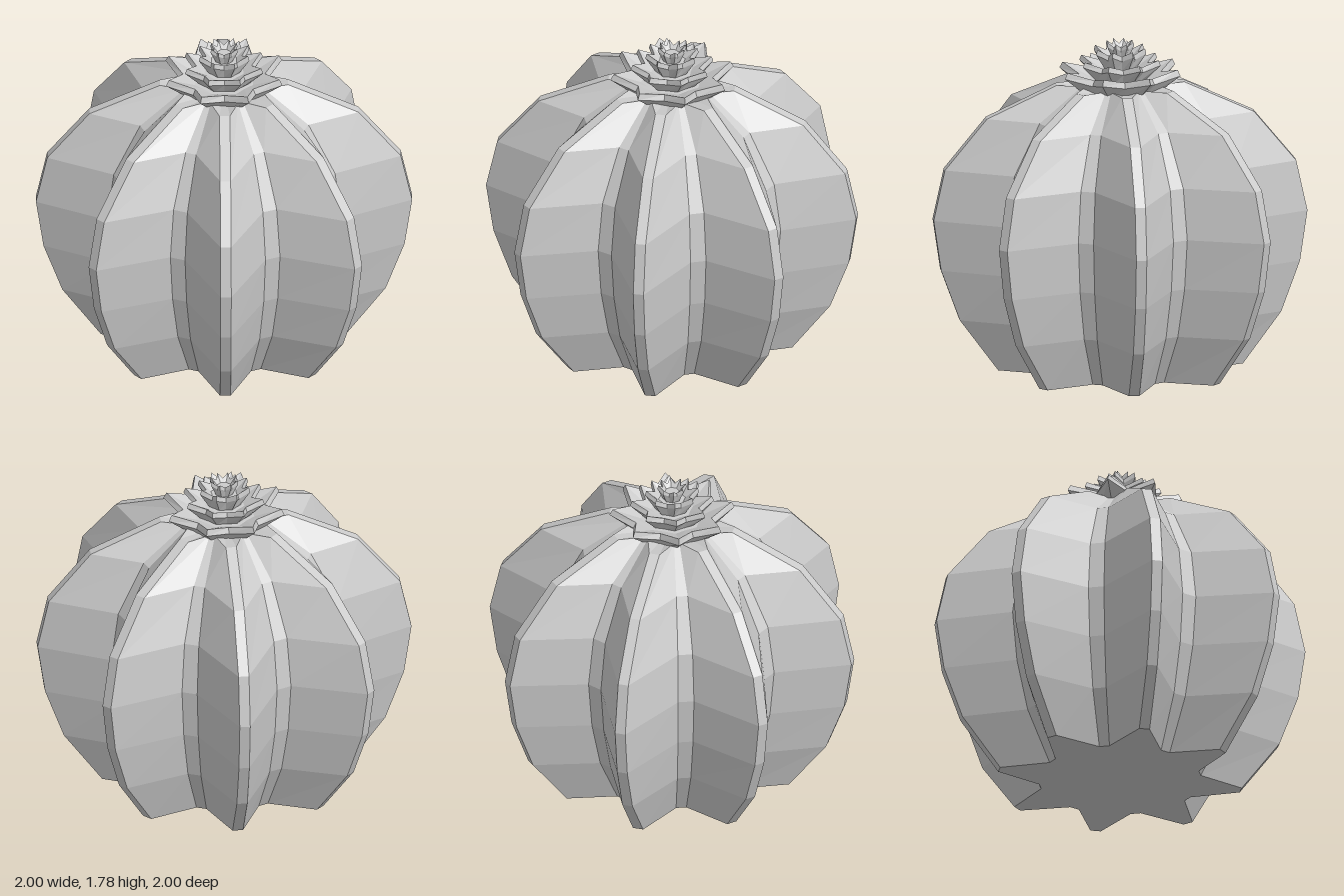
import * as THREE from 'three';

const RIBS = 8;
const material = new THREE.MeshStandardMaterial({ color: 0xcccccc, flatShading: true });

// Point at angle a, distance r out and w sideways
const polar = (a, r, w, y) => [
  r * Math.sin(a) + w * Math.cos(a), y, r * Math.cos(a) - w * Math.sin(a)];

// Skin closed rings from bottom to top, closing each end at a centre height
function loft(name, rings, yBottom, yTop) {
  const pos = [];
  const tri = (...pts) => pts.forEach(p => pos.push(...p));
  const n = rings[0].length;
  const last = rings[rings.length - 1];
  for (let i = 0; i < n; i++) {
    const j = (i + 1) % n;
    for (let k = 0; k < rings.length - 1; k++) {
      const lo = rings[k], hi = rings[k + 1];
      tri(lo[i], lo[j], hi[j]);
      tri(lo[i], hi[j], hi[i]);
    }
    tri([0, yBottom, 0], rings[0][j], rings[0][i]);
    tri([0, yTop, 0], last[i], last[j]);
  }
  const geometry = new THREE.BufferGeometry();
  geometry.setAttribute('position', new THREE.Float32BufferAttribute(pos, 3));
  geometry.computeVertexNormals();
  const mesh = new THREE.Mesh(geometry, material);
  mesh.name = name;
  return mesh;
}

// Ribbed section: narrow flat crests and narrow flat valleys
function ribRing(r, y) {
  const ring = [];
  for (let i = 0; i < RIBS; i++) {
    const a = i * Math.PI * 2 / RIBS, v = a + Math.PI / RIBS;
    ring.push(polar(a, r, -0.028, y), polar(a, r, 0.028, y));
    ring.push(polar(v, r * 0.66, -r * 0.042, y), polar(v, r * 0.66, r * 0.042, y));
  }
  return ring;
}

// Star section with separate heights for petal tips and notches
function starRing(tipR, tipY, notchR, notchY) {
  const ring = [];
  for (let i = 0; i < RIBS; i++) {
    const a = (i + 0.5) * Math.PI * 2 / RIBS;
    ring.push(polar(a, tipR, 0, tipY), polar(a + Math.PI / RIBS, notchR, 0, notchY));
  }
  return ring;
}

// One whorl of upturned petals
function petalTier(r, y0, y1) {
  const h = y1 - y0, at = t => y0 + h * t;
  return loft('petalTier', [
    starRing(r * 0.62, y0, r * 0.56, y0),
    starRing(r, at(0.76), r * 0.7, at(0.5)),
    starRing(r * 0.95, y1, r * 0.65, at(0.72)),
    starRing(r * 0.5, at(0.5), r * 0.45, at(0.5)),
  ], y0, at(0.5));
}

export function createModel() {
  const model = new THREE.Group();
  model.name = 'cactus';

  // Ribbed body: radius and height of each ring
  const profile = [[0.655, 0], [0.86, 0.28], [0.96, 0.555], [1, 0.83],
    [0.94, 1.105], [0.715, 1.38], [0.34, 1.555]];
  model.add(loft('body', profile.map(([r, y]) => ribRing(r, y)), 0, 1.5));

  // Flower: stacked petal tiers
  const flower = new THREE.Group();
  flower.name = 'flower';
  const tiers = [[0.335, 1.51, 1.645], [0.225, 1.575, 1.69],
    [0.145, 1.635, 1.75], [0.078, 1.695, 1.78]];
  tiers.forEach(t => flower.add(petalTier(...t)));
  model.add(flower);
  return model;
}
